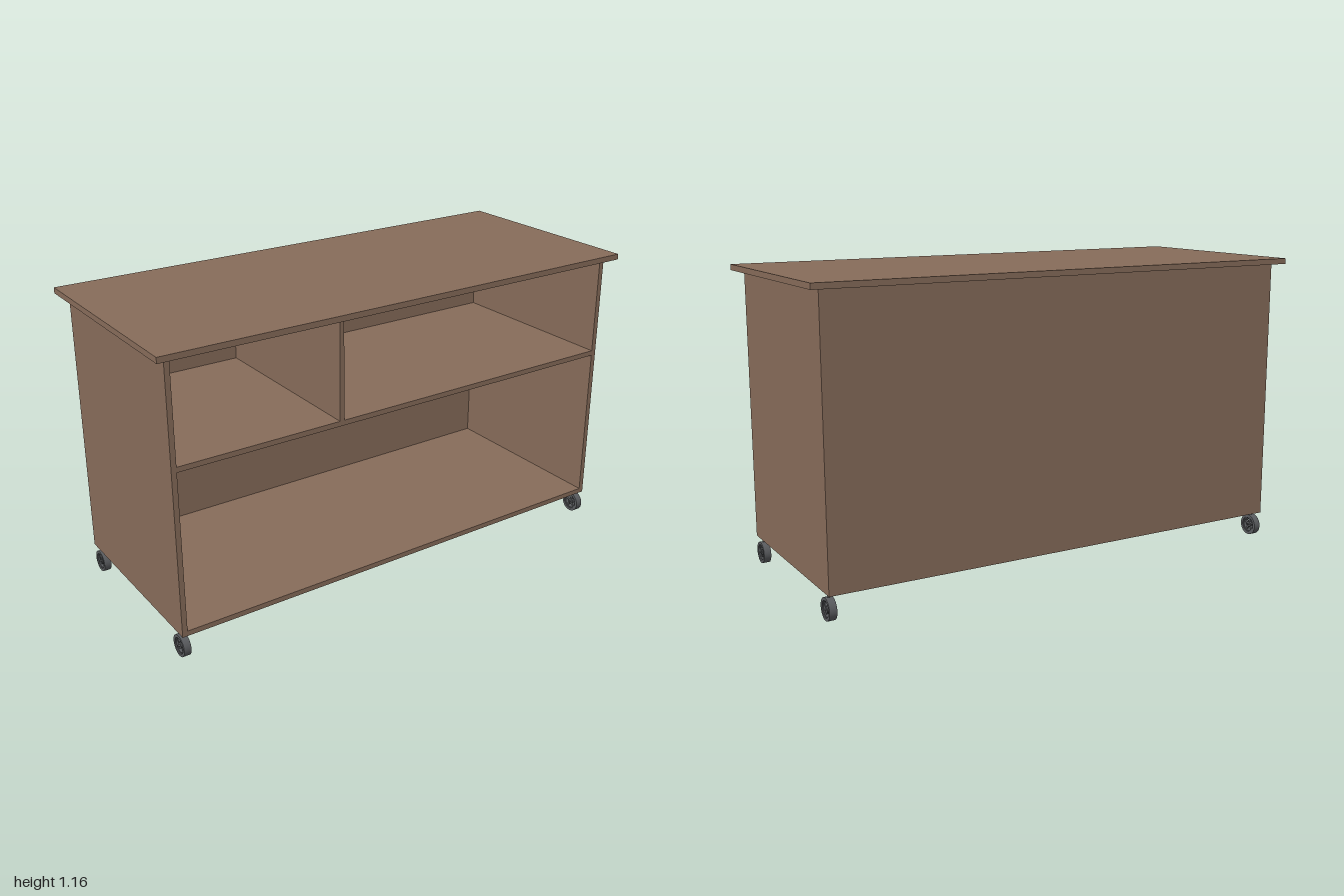
import * as THREE from 'three';

const wood = new THREE.MeshStandardMaterial({ color: 0x876c5a });
wood.name = 'brown wood';
const rubber = new THREE.MeshStandardMaterial({ color: 0x5a5c5f });
rubber.name = 'caster grey';

// Board given by its lower and upper corners
function board(name, [x0, y0, z0], [x1, y1, z1]) {
  const mesh = new THREE.Mesh(new THREE.BoxGeometry(x1 - x0, y1 - y0, z1 - z0), wood);
  mesh.position.set((x0 + x1) / 2, (y0 + y1) / 2, (z0 + z1) / 2);
  mesh.name = name;
  return mesh;
}

// Ring extruded along x, centred on the origin
function ringGeometry(outer, inner, width) {
  const shape = new THREE.Shape().absarc(0, 0, outer, 0, Math.PI * 2, false);
  shape.holes.push(new THREE.Path().absarc(0, 0, inner, 0, Math.PI * 2, true));
  return new THREE.ExtrudeGeometry(shape, { depth: width, bevelEnabled: false, curveSegments: 32 })
    .translate(0, 0, -width / 2).rotateY(Math.PI / 2);
}

function createCaster() {
  const caster = new THREE.Group();
  caster.name = 'caster';
  const add = (name, geometry) => {
    const mesh = new THREE.Mesh(geometry, rubber);
    mesh.name = name;
    caster.add(mesh);
    return mesh;
  };
  const r = 0.042;
  add('tyre', ringGeometry(r, 0.031, 0.028));
  add('rim', ringGeometry(0.0312, 0.027, 0.02));
  add('hub', new THREE.CylinderGeometry(0.011, 0.011, 0.02, 24).rotateZ(Math.PI / 2));
  add('axle', new THREE.CylinderGeometry(0.004, 0.004, 0.034, 16).rotateZ(Math.PI / 2)).position.x = -0.002;
  // Five spokes between hub and rim
  for (let i = 0; i < 5; i++) {
    add('spoke', new THREE.BoxGeometry(0.012, 0.02, 0.008).translate(0, 0.019, 0)
      .rotateX(i * Math.PI * 2 / 5));
  }
  // Stem up to the cabinet base
  add('stem', new THREE.CylinderGeometry(0.005, 0.005, 0.02, 16)).position.y = r + 0.008;
  return caster;
}

export function createModel() {
  const model = new THREE.Group();
  model.name = 'rollingCounter';
  const W = 0.96, D = 0.385, t = 0.02, bottom = 0.10, top = 1.14;
  const inner = W - t, back = -D + t;

  // Cabinet boards
  model.add(
    board('countertop', [-1, top, -0.422], [1, 1.162, 0.422]),
    board('rightSide', [-W, bottom, -D], [-inner, top, D]),
    board('leftSide', [inner, bottom, -D], [W, top, D]),
    board('backPanel', [-inner, bottom, -D], [inner, top, back]),
    board('basePanel', [-inner, bottom, back], [inner, bottom + t, D]),
    board('shelf', [-inner, 0.735, back], [inner, 0.755, D]),
    board('divider', [-0.30, 0.755, back], [-0.282, top, D]),
  );

  // Casters at the four corners
  for (const x of [-0.944, 0.946]) {
    for (const z of [-0.344, 0.344]) {
      const caster = createCaster();
      caster.position.set(x, 0.042, z);
      // Stem top reaches the base
      caster.getObjectByName('stem').position.y = 0.05;
      model.add(caster);
    }
  }
  return model;
}
